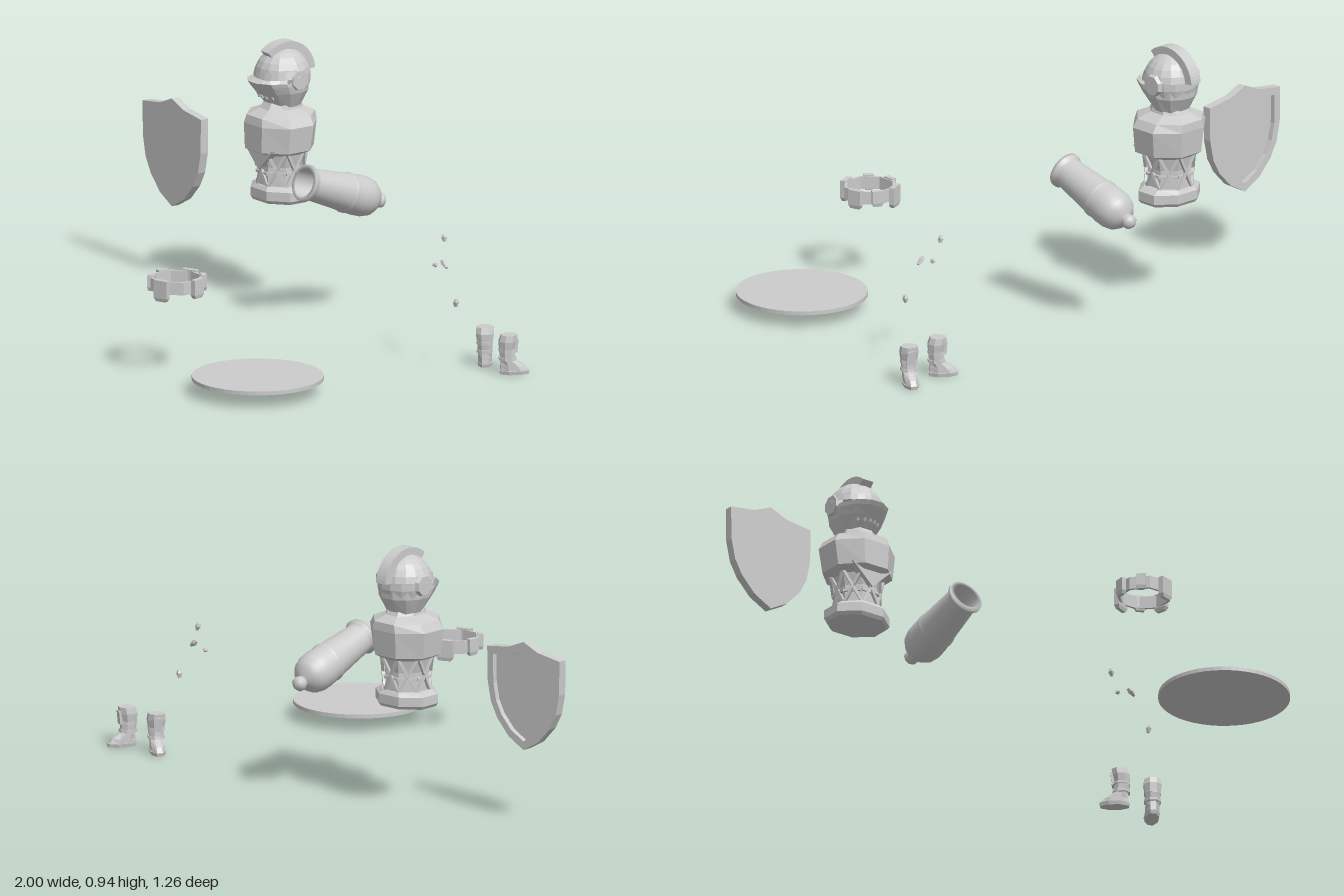
import * as THREE from 'three';

const flat = new THREE.MeshStandardMaterial({ color: 0xcccccc, flatShading: true, side: THREE.DoubleSide });
const smooth = new THREE.MeshStandardMaterial({ color: 0xcccccc, side: THREE.DoubleSide });
const TAU = Math.PI * 2;

function add(parent, name, geometry, x = 0, y = 0, z = 0, material = flat) {
  const mesh = new THREE.Mesh(geometry, material);
  mesh.name = name;
  mesh.position.set(x, y, z);
  parent.add(mesh);
  return mesh;
}

// Stacked rings; each section is [y, halfWidth, halfDepth, centreZ, centreX]
function loft(sections, sides = 8, capTop = true, capBottom = true) {
  const pos = [], index = [], k = 1 / Math.cos(Math.PI / sides);
  for (const [y, hx, hz, cz = 0, cx = 0] of sections) {
    for (let i = 0; i < sides; i++) {
      const a = (i + 0.5) / sides * TAU;
      pos.push(cx + Math.cos(a) * hx * k, y, cz + Math.sin(a) * hz * k);
    }
  }
  const top = sections.length - 1;
  for (let r = 0; r < top; r++) {
    for (let i = 0; i < sides; i++) {
      const j = (i + 1) % sides, a = r * sides + i, b = r * sides + j;
      index.push(a, a + sides, b + sides, a, b + sides, b);
    }
  }
  for (let i = 1; i < sides - 1; i++) {
    const t = top * sides;
    if (capTop) index.push(t, t + i + 1, t + i);
    if (capBottom) index.push(0, i, i + 1);
  }
  const g = new THREE.BufferGeometry();
  g.setAttribute('position', new THREE.Float32BufferAttribute(pos, 3));
  g.setIndex(index);
  g.computeVertexNormals();
  return g;
}

function bar(parent, name, p, q, w, t) {
  const m = add(parent, name, new THREE.BoxGeometry(w, t, p.distanceTo(q)));
  m.position.copy(p).add(q).multiplyScalar(0.5);
  m.lookAt(q);
  return m;
}

const extrude = (shape, depth, curveSegments = 8) =>
  new THREE.ExtrudeGeometry(shape, { depth, bevelEnabled: false, curveSegments });

// Heater shield with a raised rim on its back
function shield() {
  const g = new THREE.Group();
  g.name = 'shield';
  const outline = (s) => [[0, 0.197], [0.07, 0.168], [0.173, 0.154], [0.171, 0.03], [0.155, -0.045],
    [0.125, -0.1], [0.07, -0.158], [0, -0.196]].map(([x, y]) => [x * s, y * s]);
  const points = (s) => {
    const half = outline(s);
    return [...half, ...half.slice(1, -1).reverse().map(([x, y]) => [-x, y])]
      .map(([x, y]) => new THREE.Vector2(x, y));
  };
  add(g, 'shieldFace', extrude(new THREE.Shape(points(1)), 0.014), 0, 0, 0.002);
  const rim = new THREE.Shape(points(1));
  rim.holes.push(new THREE.Path(points(0.84)));
  add(g, 'shieldRim', extrude(rim, 0.018), 0, 0, -0.016);
  g.position.set(-0.828, 0.46, -0.331);
  return g;
}

function bust() {
  const g = new THREE.Group();
  g.name = 'armouredBust';
  // Torso
  add(g, 'hipBelt', loft([[0.373, 0.105, 0.087], [0.385, 0.114, 0.095], [0.418, 0.113, 0.095], [0.432, 0.09, 0.085]]));
  add(g, 'waist', loft([[0.425, 0.076, 0.078], [0.5, 0.074, 0.076], [0.57, 0.09, 0.09]]));
  add(g, 'chestPlate', loft([[0.545, 0.085, 0.085], [0.562, 0.118, 0.115, 0.004], [0.655, 0.13, 0.12],
    [0.685, 0.112, 0.116, -0.002], [0.706, 0.065, 0.075, -0.005], [0.74, 0.055, 0.055, -0.005]]));
  const point = new THREE.Shape([[-0.085, 0.57], [0, 0.49], [0.085, 0.57]].map(([x, y]) => new THREE.Vector2(x, y)));
  add(g, 'chestPoint', extrude(point, 0.03), 0, 0, 0.066);
  // Crossed straps around the waist
  const corner = (i, y, r) => {
    const a = (i + 0.5) / 8 * TAU;
    return new THREE.Vector3(Math.cos(a) * r, y, Math.sin(a) * r);
  };
  for (let i = 0; i < 8; i++) {
    bar(g, 'waistStrap', corner(i, 0.43, 0.085), corner(i + 1, 0.56, 0.097), 0.01, 0.01);
    bar(g, 'waistStrap', corner(i + 1, 0.43, 0.085), corner(i, 0.56, 0.097), 0.01, 0.01);
    bar(g, 'waistBand', corner(i, 0.478, 0.085), corner(i + 1, 0.478, 0.085), 0.01, 0.01);
  }
  // Helmet: dome and closed back, open at the eyes
  const head = new THREE.Group();
  head.name = 'helmet';
  head.position.set(0, 0.82, -0.01);
  g.add(head);
  add(head, 'helmetDome', new THREE.SphereGeometry(0.1, 16, 6, 0, TAU, 0, 1.45));
  add(head, 'helmetBack', new THREE.SphereGeometry(0.1, 9, 5, -0.3, Math.PI + 0.6, 1.45, 1.4)).rotation.y = Math.PI;
  const brow = add(head, 'browVisor', new THREE.CylinderGeometry(0.097, 0.105, 0.025, 12, 1, true, -Math.PI / 2, Math.PI), 0, 0.022, 0);
  brow.rotation.x = 0.1;
  // Jaw guard jutting forward
  add(head, 'jawGuard', loft([[-0.11, 0.06, 0.055, -0.003], [-0.05, 0.09, 0.095, 0.005],
    [-0.022, 0.096, 0.108, 0.015], [-0.008, 0.096, 0.11, 0.023]], 12, false));
  for (let i = -2; i <= 2; i++) {
    const vent = add(head, 'jawVent', new THREE.BoxGeometry(0.009, 0.012, 0.008), i * 0.021, -0.066, 0.09 - 0.004 * i * i);
    vent.rotation.x = 0.4;
  }
  for (const s of [-1, 1]) {
    const ear = add(head, 'hingeDisc', new THREE.CylinderGeometry(0.036, 0.045, 0.024, 8), s * 0.091, 0, -0.005);
    ear.rotation.set(0, Math.PI / 8, -s * Math.PI / 2, 'ZYX');
  }
  // Crest arching from brow to nape
  const arc = new THREE.Shape();
  arc.absarc(0, 0, 0.124, 0.85, Math.PI - 0.1, false);
  arc.absarc(0, 0, 0.092, Math.PI - 0.1, 0.85, true);
  add(head, 'crest', extrude(arc, 0.046, 10), 0.023, 0, -0.003).rotation.y = -Math.PI / 2;
  g.position.set(-0.36, 0, -0.445);
  return g;
}

// Cannon barrel as one turned profile, muzzle at the origin of its axis
function cannon() {
  const profile = [[0, -0.17], [0.05, -0.17], [0.05, 0], [0.066, 0], [0.067, -0.012], [0.058, -0.018], [0.057, -0.03],
    [0.069, -0.185], [0.073, -0.188], [0.073, -0.2], [0.07, -0.203], [0.073, -0.235], [0.072, -0.27], [0.064, -0.298],
    [0.048, -0.318], [0.025, -0.329], [0.02, -0.333], [0.027, -0.345], [0.025, -0.358], [0.014, -0.368], [0, -0.371]];
  const g = new THREE.LatheGeometry(profile.reverse().map(([r, y]) => new THREE.Vector2(r, y)), 32);
  const m = new THREE.Mesh(g, smooth);
  m.name = 'cannon';
  m.position.set(0, 0.527, -0.284);
  m.rotation.x = Math.PI / 2 - 0.335;
  return m;
}

// Loose belt with pouches
function looseBelt() {
  const g = new THREE.Group();
  g.name = 'looseBelt';
  const ringPoints = (r) => Array.from({ length: 8 }, (_, i) =>
    new THREE.Vector2(Math.cos((i + 0.5) / 8 * TAU) * r, Math.sin((i + 0.5) / 8 * TAU) * r));
  const ring = new THREE.Shape(ringPoints(0.096));
  ring.holes.push(new THREE.Path(ringPoints(0.086)));
  add(g, 'beltBand', extrude(ring, 0.046), 0, 0.304, 0).rotation.x = -Math.PI / 2;
  // Each pouch: angle, width, bottom height
  for (const [a, w, low] of [[1.25, 0.055, 0.278], [2.3, 0.035, 0.298], [3.2, 0.04, 0.295],
    [4.3, 0.06, 0.28], [5.2, 0.04, 0.298], [6.05, 0.05, 0.287]]) {
    const p = add(g, 'beltPouch', loft([[low, w * 0.36, 0.007], [low + 0.013, w / 2, 0.01], [0.355, w / 2, 0.01]], 4),
      Math.cos(a) * 0.094, 0, Math.sin(a) * 0.094);
    p.rotation.y = Math.PI / 2 - a;
  }
  g.position.set(0.24, 0, 0.452);
  return g;
}

// Boot with the toe along local +z
function boot(name, x, z, turn) {
  const g = new THREE.Group();
  g.name = name;
  add(g, 'bootSole', loft([[0, 0.024, 0.05, 0.02], [0.013, 0.027, 0.053, 0.02]]));
  add(g, 'bootFoot', loft([[0.012, 0.024, 0.05, 0.02], [0.03, 0.024, 0.042, 0.014], [0.05, 0.024, 0.026, 0],
    [0.065, 0.023, 0.023, -0.003]]));
  add(g, 'bootShaft', loft([[0.05, 0.025, 0.026, -0.002], [0.085, 0.027, 0.027, -0.006], [0.12, 0.032, 0.031, -0.003],
    [0.143, 0.029, 0.028, 0.002]]));
  for (const y of [0.052, 0.082])
    add(g, 'bootStrap', loft([[y, 0.029, 0.031, -0.003], [y + 0.01, 0.029, 0.03, -0.004]]));
  add(g, 'shinGuard', new THREE.BoxGeometry(0.03, 0.05, 0.01), 0, 0.105, 0.027).rotation.x = 0.1;
  g.position.set(x, 0, z);
  g.rotation.y = turn;
  return g;
}

export function createModel() {
  const root = new THREE.Group();
  root.name = 'armourSet';
  root.add(shield(), bust(), cannon(), looseBelt());
  add(root, 'disc', new THREE.CylinderGeometry(0.233, 0.233, 0.014, 48), 0.635, 0.056, 0.39);
  root.add(boot('innerBoot', 0.81, -0.477, Math.atan2(-0.8, -0.6)));
  root.add(boot('outerBoot', 0.95, -0.477, Math.atan2(0.5, -0.87)));
  // Small loose scraps: x, y, z, length, tilt
  for (const [x, y, z, s, tilt] of [[0.7, 0.457, -0.38, 0.026, 0.3], [0.7, 0.365, -0.34, 0.014, 0.7],
    [0.757, 0.38, -0.338, 0.036, 0.9], [0.83, 0.255, -0.335, 0.028, -0.1]]) {
    const m = add(root, 'looseScrap', loft([[-s / 2, 0.004, 0.005], [s * 0.1, 0.009, 0.009], [s / 2, 0.005, 0.005]], 5), x, y, z);
    m.rotation.z = tilt;
  }
  return root;
}
